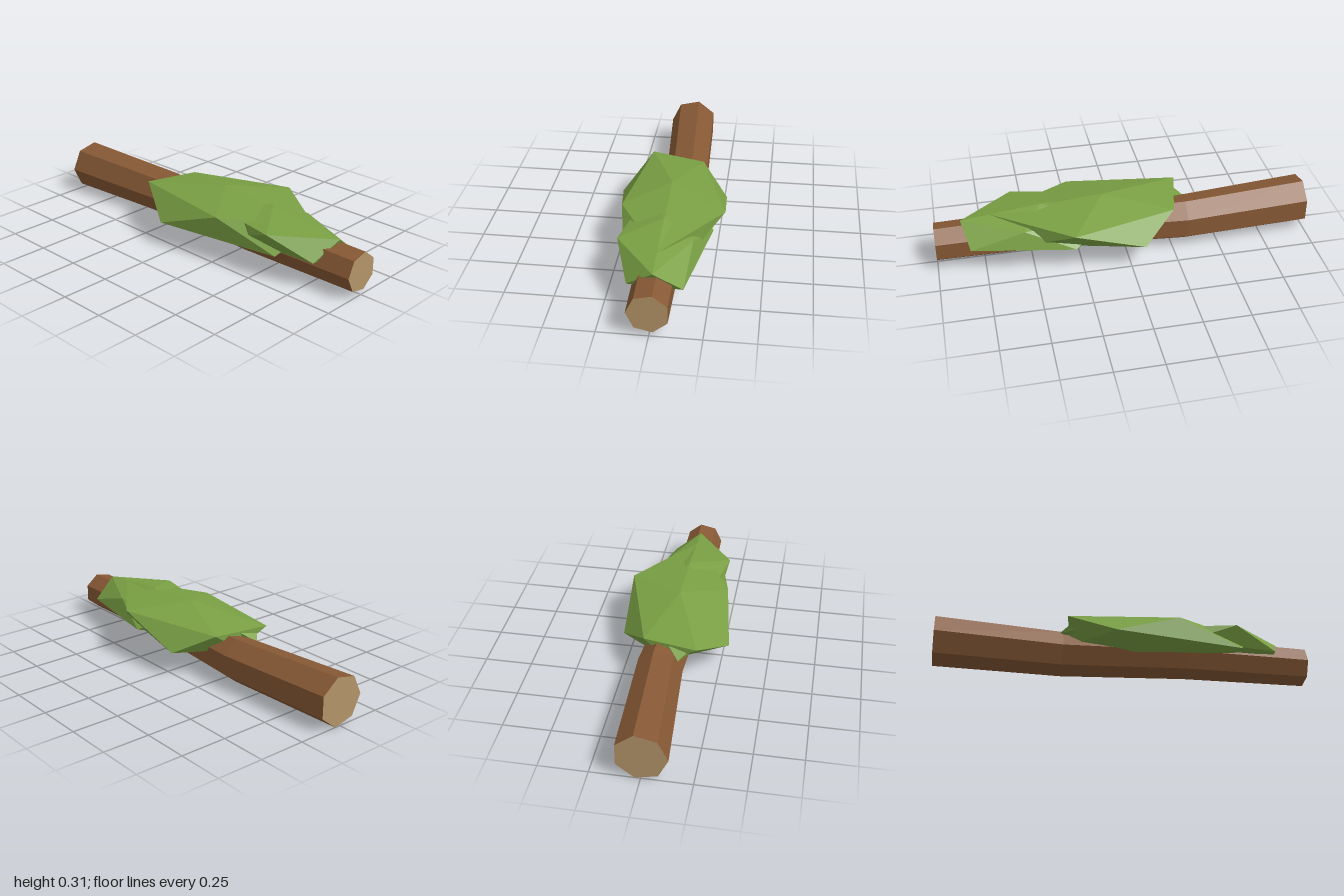
import * as THREE from 'three';

const mat = (name, color) => {
  const m = new THREE.MeshStandardMaterial({ color });
  m.name = name;
  return m;
};

// Flat-faced mesh from a list of triangle corners
function facetMesh(name, corners, material) {
  const g = new THREE.BufferGeometry().setFromPoints(corners);
  g.computeVertexNormals();
  const mesh = new THREE.Mesh(g, material);
  mesh.name = name;
  return mesh;
}

// Ring of the log: seven corners around a centre in the yz plane
const SIDES = 7;
function logRing({ x, y, z, r }) {
  return Array.from({ length: SIDES }, (_, k) => {
    const a = (k / SIDES) * Math.PI * 2;
    return new THREE.Vector3(x, y + r * Math.sin(a), z + r * Math.cos(a));
  });
}

// Squashed twelve-cornered lump; each corner is pushed in or out by a factor
function mossLump(name, center, size, { top, upper, lower, bottom }, material) {
  const corner = (x, y, z, f) =>
    new THREE.Vector3(x, y, z).multiplyScalar(f).multiply(size).add(center);
  const ring = (factors, turn, h) => factors.map((f, k) => {
    const a = (k + turn) * Math.PI * 0.4;
    return corner(0.894 * Math.cos(a), h, 0.894 * Math.sin(a), f);
  });
  const T = corner(0, 1, 0, top), B = corner(0, -1, 0, bottom);
  const U = ring(upper, 0, 0.447), L = ring(lower, 0.5, -0.447);
  const tris = [];
  for (let k = 0; k < 5; k++) {
    const n = (k + 1) % 5;
    tris.push(T, U[n], U[k], U[k], U[n], L[k], L[k], U[n], L[n], B, L[k], L[n]);
  }
  return facetMesh(name, tris, material);
}

export function createModel() {
  const group = new THREE.Group();
  const bark = mat('bark brown', 0x875935);
  const wood = mat('cut wood', 0xb39468);
  const moss = mat('moss green', 0x7aa044);

  // Tapered, slightly crooked log
  const rings = [
    { x: -1, y: 0.132, z: 0, r: 0.133 },
    { x: -0.33, y: 0.124, z: -0.035, r: 0.121 },
    { x: 0.33, y: 0.125, z: 0.01, r: 0.111 },
    { x: 1, y: 0.125, z: 0.005, r: 0.103 },
  ].map(logRing);
  const sides = [], leftCut = [], rightCut = [];
  const first = rings[0], last = rings[rings.length - 1];
  for (let k = 0; k < SIDES; k++) {
    const n = (k + 1) % SIDES;
    for (let i = 0; i < rings.length - 1; i++) {
      const a = rings[i], b = rings[i + 1];
      sides.push(a[k], b[k], b[n], a[k], b[n], a[n]);
    }
    if (k > 0 && k < SIDES - 1) {
      rightCut.push(last[0], last[n], last[k]);
      leftCut.push(first[0], first[k], first[n]);
    }
  }
  group.add(
    facetMesh('logBark', sides, bark),
    facetMesh('thickCutEnd', leftCut, wood),
    facetMesh('thinCutEnd', rightCut, wood),
  );

  // Moss lumps lying over the log
  const V = (x, y, z) => new THREE.Vector3(x, y, z);
  group.add(
    mossLump('largeMoss', V(0.11, 0.2, 0), V(0.69, 0.15, 0.345), {
      top: 0.75, upper: [0.97, 0.82, 0.86, 0.72, 1.0],
      lower: [1.0, 1.0, 0.64, 0.94, 0.8], bottom: 0.72,
    }, moss),
    mossLump('middleMoss', V(0.44, 0.2, 0), V(0.5, 0.112, 0.25), {
      top: 0.85, upper: [0.94, 1.0, 0.9, 0.9, 0.73],
      lower: [1.02, 0.85, 0.9, 1.1, 1.06], bottom: 0.8,
    }, moss),
    mossLump('smallMoss', V(-0.12, 0.222, 0.065), V(0.255, 0.05, 0.12), {
      top: 0.9, upper: [1, 1, 0.9, 0.9, 1],
      lower: [1, 1, 1, 1, 1], bottom: 1,
    }, moss),
  );
  return group;
}
